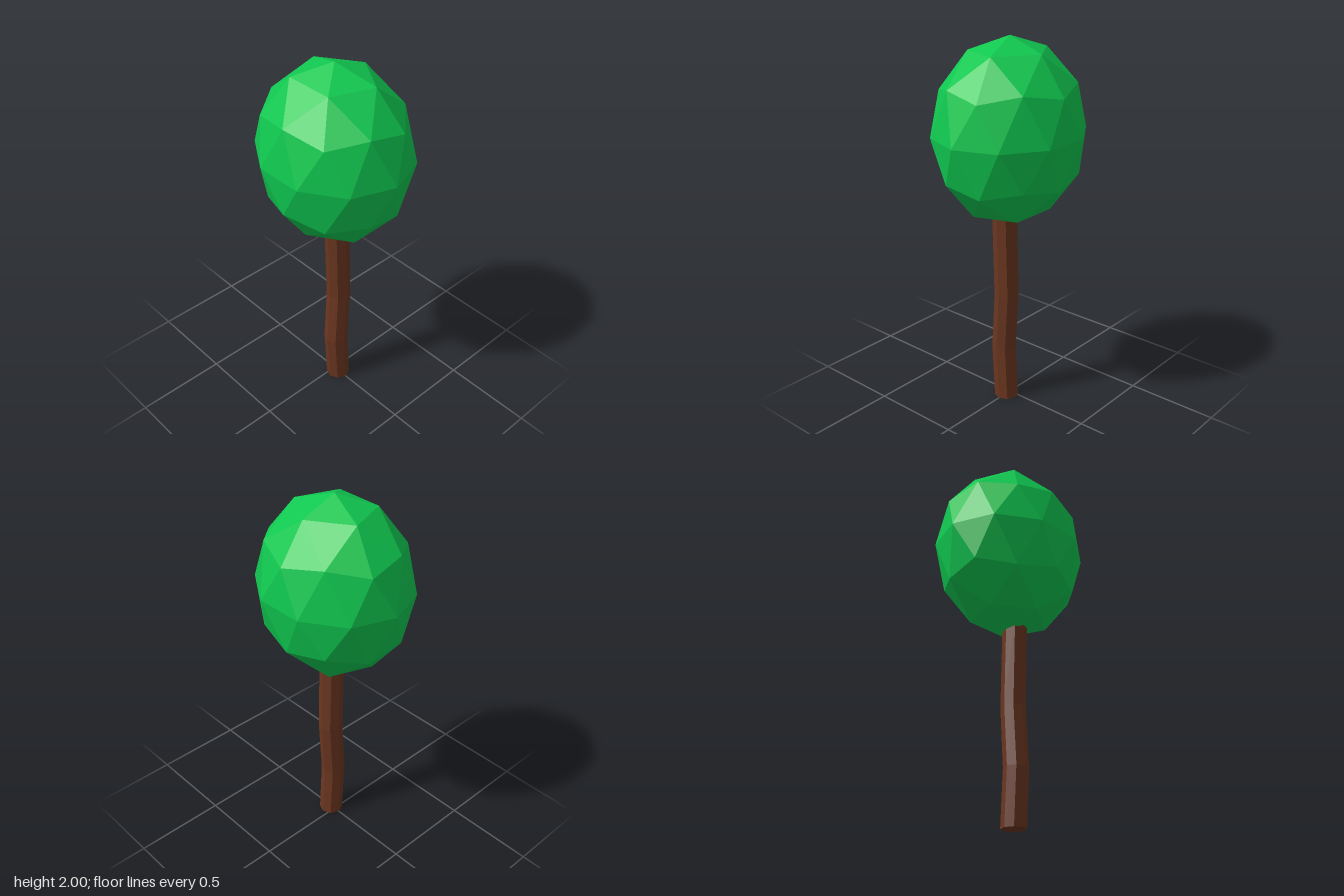
import * as THREE from 'three';

// Low-poly crown: once-subdivided icosahedron with a corner on top, stretched to an egg
function makeCrown() {
  const geometry = new THREE.IcosahedronGeometry(1, 1);
  geometry.rotateZ(-Math.atan(2 / (1 + Math.sqrt(5))));
  geometry.scale(0.379, 0.485, 0.427);
  geometry.computeVertexNormals();
  const crown = new THREE.Mesh(geometry, new THREE.MeshStandardMaterial({ color: 0x10c850, flatShading: true }));
  crown.name = 'crown';
  crown.position.y = 1.515;
  return crown;
}

// Eight-sided trunk whose rings are shifted sideways into a slight wave
function makeTrunk() {
  const rings = [[0, 0], [-0.017, 0.3], [0.002, 0.62], [-0.012, 1.12]]; // x, y of each ring centre
  const geometry = new THREE.CylinderGeometry(0.065, 0.065, 3, 8, 3);
  const p = geometry.attributes.position;
  for (let i = 0; i < p.count; i++) {
    const [x, y] = rings[Math.round(p.getY(i) + 1.5)];
    p.setX(i, p.getX(i) + x);
    p.setY(i, y);
  }
  geometry.computeVertexNormals();
  const trunk = new THREE.Mesh(geometry, new THREE.MeshStandardMaterial({ color: 0x6b3620, flatShading: true }));
  trunk.name = 'trunk';
  trunk.position.z = 0.03;
  return trunk;
}

export function createModel() {
  const tree = new THREE.Group();
  tree.name = 'tree';
  tree.add(makeTrunk(), makeCrown());
  return tree;
}
